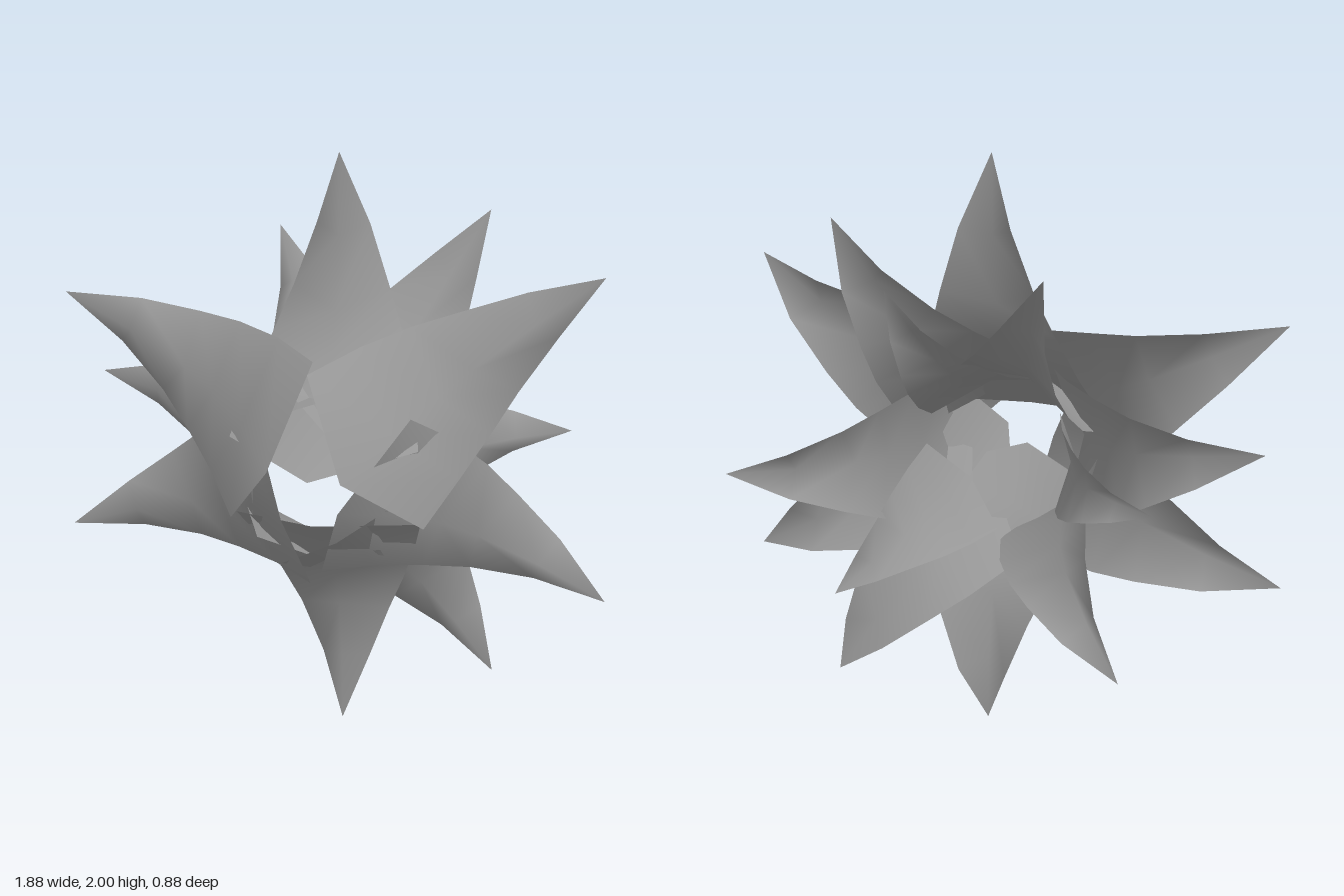
import * as THREE from 'three';

// Cross-sections of a unit petal, root to tip: [ridge u, ridge v, edge u, edge v, half width]
// u runs along the root-to-tip chord, v is height above it.
const ROWS = [
  [0.0, 0.0, 0.13, -0.16, 0.3],
  [0.22, -0.107, 0.32, -0.225, 0.262],
  [0.41, -0.16, 0.49, -0.242, 0.213],
  [0.55, -0.158, 0.64, -0.227, 0.157],
  [0.77, -0.1, 0.83, -0.16, 0.085],
];

// Folded petal sheet between a root point and a tip point
function petalGeometry(root, tip) {
  const chord = tip.clone().sub(root);
  const length = chord.length();
  chord.normalize();
  const side = new THREE.Vector3(0, 0, 1).cross(chord).normalize();
  const up = chord.clone().cross(side);
  const positions = [];
  const add = (u, v, w) => {
    const p = root.clone()
      .addScaledVector(chord, u * length)
      .addScaledVector(up, v * length)
      .addScaledVector(side, w * length);
    positions.push(p.x, p.y, p.z);
  };
  for (const [ru, rv, eu, ev, w] of ROWS) {
    add(eu, ev, -w);
    add(ru, rv, 0);
    add(eu, ev, w);
  }
  add(1, 0, 0);

  const index = [];
  const last = ROWS.length - 1;
  for (let i = 0; i <= last; i++) {
    for (let j = 0; j < 2; j++) {
      const a = i * 3 + j;
      if (i < last) index.push(a, a + 3, a + 1, a + 1, a + 3, a + 4);
      else index.push(a, a + 3 - j, a + 1);
    }
  }
  const geometry = new THREE.BufferGeometry();
  geometry.setAttribute('position', new THREE.Float32BufferAttribute(positions, 3));
  geometry.setIndex(index);
  geometry.computeVertexNormals();
  return geometry;
}

// Front whorl: root x, y, z and tip x, y
const FRONT = [
  [0.03, 1.08, 0.42, 0.035, 2.0],
  [-0.09, 1.11, 0.44, -0.9, 1.525],
  [-0.05, 0.955, 0.43, -0.94, 0.675],
  [0.04, 0.93, 0.4, 0.055, 0.0],
  [0.125, 0.99, 0.43, 0.94, 0.57],
  [0.135, 1.09, 0.44, 0.855, 1.65],
];

// Rear whorls: root shift outwards and forwards, and tip positions
const REAR = [
  { name: 'middlePetals', out: 0, forward: -0.04, tips: [[0.485, 1.81, -0.215], [-0.88, 1.19, -0.22], [0.575, 0.18, -0.14]] },
  { name: 'backPetals', out: 0, forward: 0, tips: [[-0.27, 1.7, -0.44], [0.79, 1.01, -0.44], [-0.52, 0.49, -0.44]] },
  { name: 'innerBackPetals', out: 0.04, forward: -0.05, tips: [[0.28, 1.61, -0.29], [0.5, 0.56, -0.29], [-0.57, 0.98, -0.28]] },
];

export function createModel() {
  const model = new THREE.Group();
  model.name = 'flower';
  const material = new THREE.MeshStandardMaterial({ color: 0x969696, side: THREE.DoubleSide });

  const addPetal = (whorl, root, tip) => {
    const petal = new THREE.Mesh(petalGeometry(root, tip), material);
    petal.name = 'petal';
    whorl.add(petal);
  };

  // Six large petals at the front
  const front = new THREE.Group();
  front.name = 'frontPetals';
  for (const [rx, ry, rz, tx, ty] of FRONT) {
    addPetal(front, new THREE.Vector3(rx, ry, rz), new THREE.Vector3(tx, ty, 0));
  }
  model.add(front);

  // Rear whorls: the same petal, tilted back and scaled about the flower's centre
  const centre = new THREE.Vector3(0.02, 1, 0);
  for (const { name, out, forward, tips } of REAR) {
    const whorl = new THREE.Group();
    whorl.name = name;
    for (const t of tips) {
      const tip = new THREE.Vector3(...t);
      const radial = tip.clone().sub(centre).setZ(0);
      const r = radial.length();
      const root = radial.setLength(0.1 * r - 0.43 * tip.z + out)
        .add(centre)
        .setZ(0.43 * r + 0.1 * tip.z + forward);
      addPetal(whorl, root, tip);
    }
    model.add(whorl);
  }
  return model;
}
